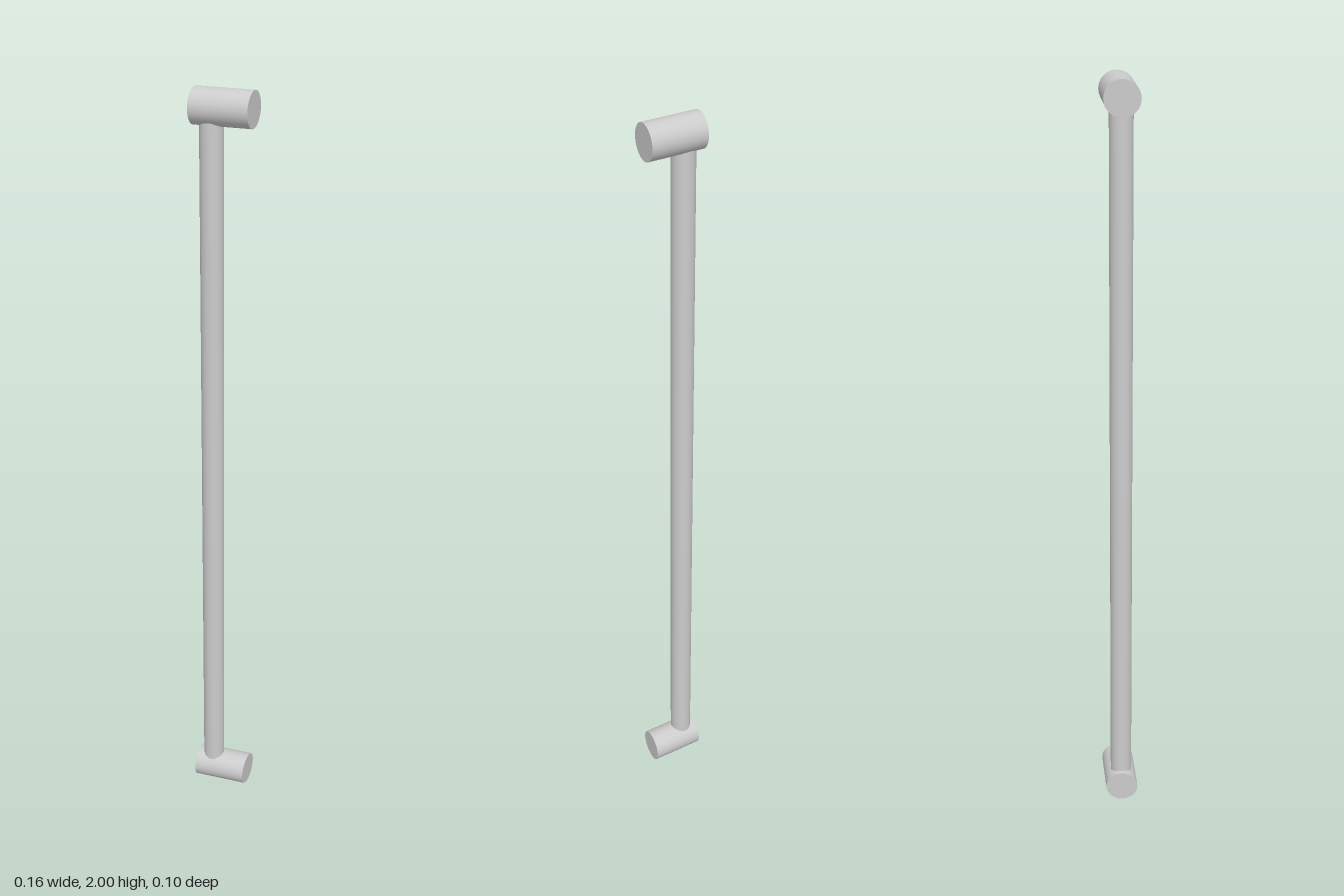
import * as THREE from 'three';

export function createModel() {
  const group = new THREE.Group();
  const material = new THREE.MeshStandardMaterial({ color: 0xcccccc });
  const radius = 0.0435;

  const add = (name, geometry, x, y, z) => {
    const mesh = new THREE.Mesh(geometry, material);
    mesh.name = name;
    mesh.position.set(x, y, z);
    group.add(mesh);
  };

  // Slender upright bar, its ends buried in the two mounts
  add('bar', new THREE.CylinderGeometry(0.029, 0.029, 2 - 2 * radius, 32), -0.03, 1, -0.002);

  // Short horizontal mounts, turned slightly, with end faces cut a little off square
  const mount = new THREE.CylinderGeometry(1, 1, 1, 40);
  mount.applyMatrix4(new THREE.Matrix4().makeBasis(
    new THREE.Vector3(0, -radius, 0),
    new THREE.Vector3(0.142, 0, 0.0145),
    new THREE.Vector3(-0.0076, 0, 0.0433),
  ));
  mount.normalizeNormals();
  add('bottomMount', mount, 0, radius, 0);
  add('topMount', mount, 0, 2 - radius, 0);

  return group;
}
